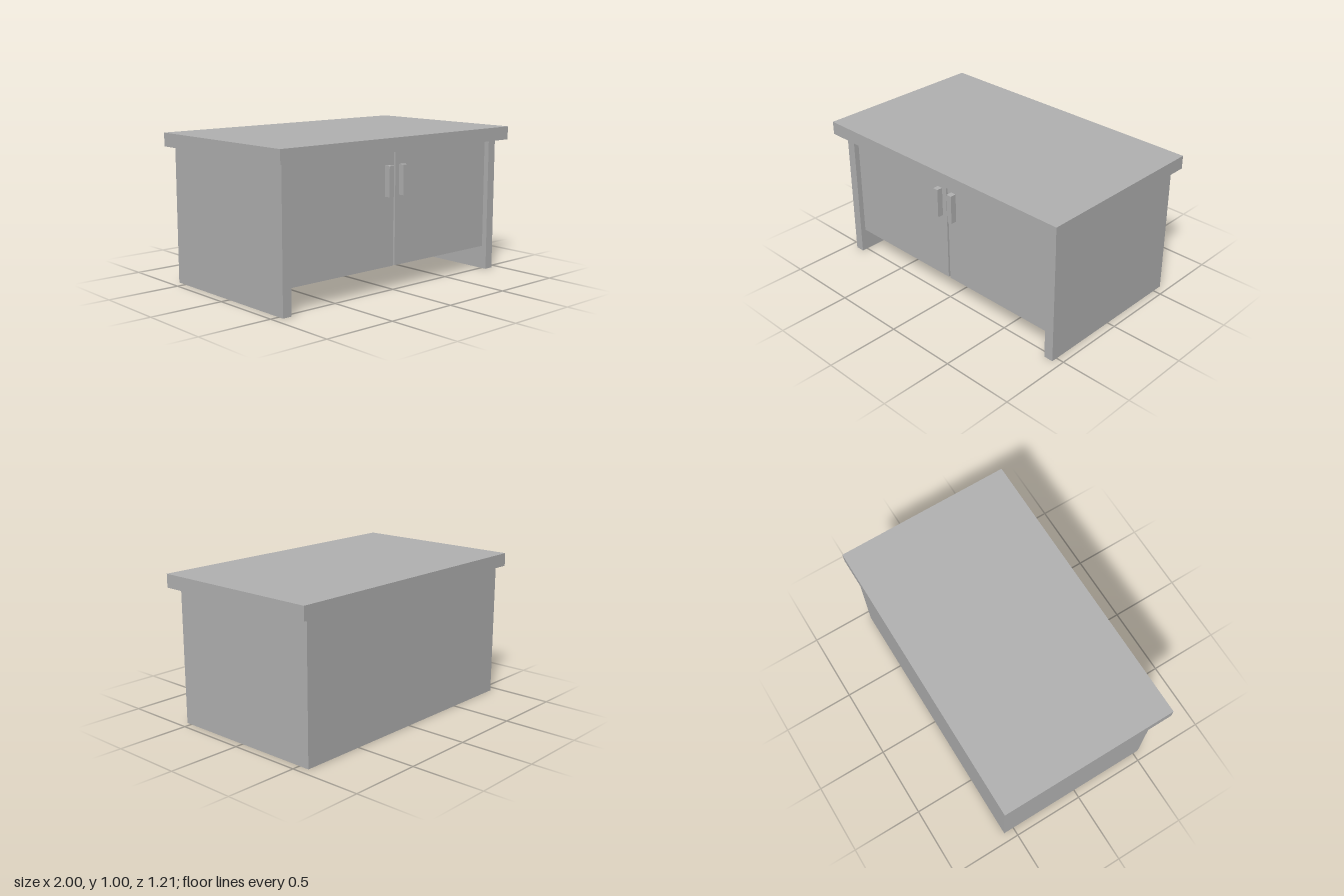
import * as THREE from 'three';

// Box faces in the order used by BoxGeometry
const BOTTOM = 3, FRONT = 4, BACK = 5;

// Box spanning two corners, with some faces left open
function openBox([x0, y0, z0], [x1, y1, z1], open) {
  const g = new THREE.BoxGeometry(x1 - x0, y1 - y0, z1 - z0);
  const index = Array.from(g.index.array).filter((_, i) => !open.includes(Math.floor(i / 6)));
  g.setIndex(index);
  g.clearGroups();
  return g.translate((x0 + x1) / 2, (y0 + y1) / 2, (z0 + z1) / 2);
}

// Upright walls along a closed [x, z] outline, without top or bottom
function walls(outline, height) {
  const shape = new THREE.Shape(outline.map(([x, z]) => new THREE.Vector2(x, -z)));
  const solid = new THREE.ExtrudeGeometry(shape, { depth: height, bevelEnabled: false });
  const { start, count } = solid.groups[1];
  const g = new THREE.BufferGeometry();
  for (const name of ['position', 'normal']) {
    const part = solid.attributes[name].array.slice(start * 3, (start + count) * 3);
    g.setAttribute(name, new THREE.BufferAttribute(part, 3));
  }
  return g.rotateX(-Math.PI / 2);
}

function rectangle(PathType, x0, y0, x1, y1) {
  return new PathType([[x0, y0], [x1, y0], [x1, y1], [x0, y1]].map(p => new THREE.Vector2(...p)));
}

export function createModel() {
  const model = new THREE.Group();
  const grey = new THREE.MeshStandardMaterial({ color: 0xb2b2b2, side: THREE.DoubleSide });
  grey.name = 'grey';
  const add = (name, geometry) => {
    const mesh = new THREE.Mesh(geometry, grey);
    mesh.name = name;
    model.add(mesh);
  };

  const bodyTop = 0.915, doorZ = 0.503, doorBottom = 0.16;

  // Hollow countertop, open underneath
  add('countertop', openBox([-1, bodyTop, -0.607], [1, 1.005, 0.607], [BOTTOM]));

  // U-shaped hollow carcass: two sides and a thick back
  add('carcass', walls([
    [-0.94, 0.54], [-0.875, 0.54], [-0.875, -0.473], [0.88, -0.473],
    [0.88, 0.54], [0.945, 0.54], [0.945, -0.573], [-0.94, -0.573],
  ], bodyTop));

  // Doors are thin sheets, each with a hollow handle pushed out of it
  const doors = [
    { side: 'right', x: [-0.875, -0.005], handle: [-0.081, -0.042] },
    { side: 'left', x: [0.01, 0.88], handle: [0.043, 0.081] },
  ];
  for (const { side, x, handle } of doors) {
    const sheet = rectangle(THREE.Shape, x[0], doorBottom, x[1], bodyTop);
    sheet.holes.push(rectangle(THREE.Path, handle[0], 0.62, handle[1], 0.818));
    add(side + 'Door', new THREE.ShapeGeometry(sheet).translate(0, 0, doorZ));
    add(side + 'Handle', openBox([handle[0], 0.62, doorZ], [handle[1], 0.818, 0.544], [BACK]));
  }

  // Recessed groove between the doors
  add('doorGroove', openBox([-0.005, doorBottom, 0.45], [0.01, bodyTop, doorZ], [FRONT, BOTTOM]));

  return model;
}
